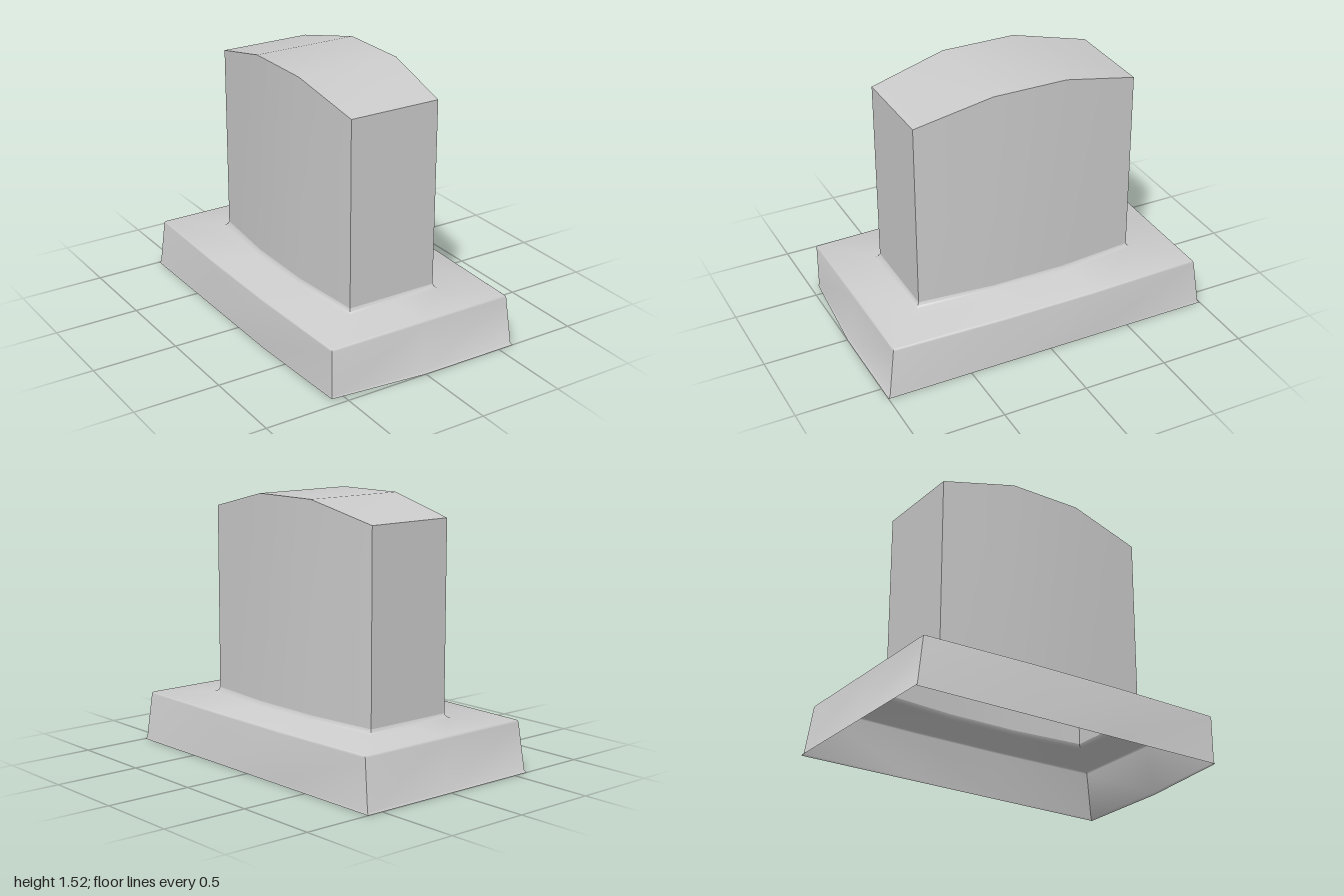
import * as THREE from 'three';
import { toCreasedNormals } from 'three/addons/utils/BufferGeometryUtils.js';

const material = new THREE.MeshStandardMaterial({ color: 0xcccccc, side: THREE.DoubleSide });

// Rectangular outline with gently bulged long sides:
// a = half width at the ends, b = half width at the bulge, d = half length, e = bulge position.
// yEnd is the height of the end points, yMid that of the bulge points.
function ring(a, b, d, e, yEnd, yMid = yEnd) {
  return [
    [0, yEnd, d], [a, yEnd, d], [b, yMid, e], [b, yMid, -e], [a, yEnd, -d],
    [0, yEnd, -d], [-a, yEnd, -d], [-b, yMid, -e], [-b, yMid, e], [-a, yEnd, d],
  ];
}

// Skin a stack of rings, optionally closing the last one with lengthwise strips.
function loft(name, rings, capped) {
  const n = rings[0].length;
  const index = [];
  const quad = (a, b, c, d) => index.push(a, b, c, a, c, d);
  for (let i = 0; i < rings.length - 1; i++) {
    for (let j = 0; j < n; j++) {
      const k = (j + 1) % n;
      quad(i * n + j, i * n + k, (i + 1) * n + k, (i + 1) * n + j);
    }
  }
  if (capped) {
    const t = (rings.length - 1) * n;
    quad(t + 9, t + 1, t + 2, t + 8);
    quad(t + 8, t + 2, t + 3, t + 7);
    quad(t + 7, t + 3, t + 4, t + 6);
  }
  const geometry = new THREE.BufferGeometry();
  geometry.setAttribute('position', new THREE.Float32BufferAttribute(rings.flat(2), 3));
  geometry.setIndex(index);
  const mesh = new THREE.Mesh(toCreasedNormals(geometry, 0.9), material);
  mesh.name = name;
  return mesh;
}

export function createModel() {
  const group = new THREE.Group();
  group.name = 'keySwitchBlock';

  // Flared bottom rim, with one front corner pulled in
  const rim = ring(0.597, 0.597, 1, 0.28, 0);
  rim[9] = [-0.577, 0.01, 0.957];
  const wallFoot = ring(0.59, 0.595, 0.988, 0.28, 0.012);
  wallFoot[9] = [-0.574, 0.02, 0.952];

  // Hollow base: tapered wall, rounded top edge, plate and fillet up to the column
  group.add(loft('base', [
    rim,
    wallFoot,
    ring(0.574, 0.592, 0.951, 0.28, 0.285),
    ring(0.571, 0.589, 0.947, 0.28, 0.294),
    ring(0.564, 0.582, 0.94, 0.28, 0.298),
    ring(0.297, 0.334, 0.692, 0.22, 0.304),
    ring(0.282, 0.321, 0.676, 0.22, 0.313),
    ring(0.275, 0.315, 0.668, 0.22, 0.33),
  ]));

  // Hollow column closed by a faceted crown
  group.add(loft('column', [
    ring(0.275, 0.315, 0.668, 0.22, 0.33),
    ring(0.275, 0.315, 0.668, 0.22, 1.42, 1.525),
  ], true));

  return group;
}
